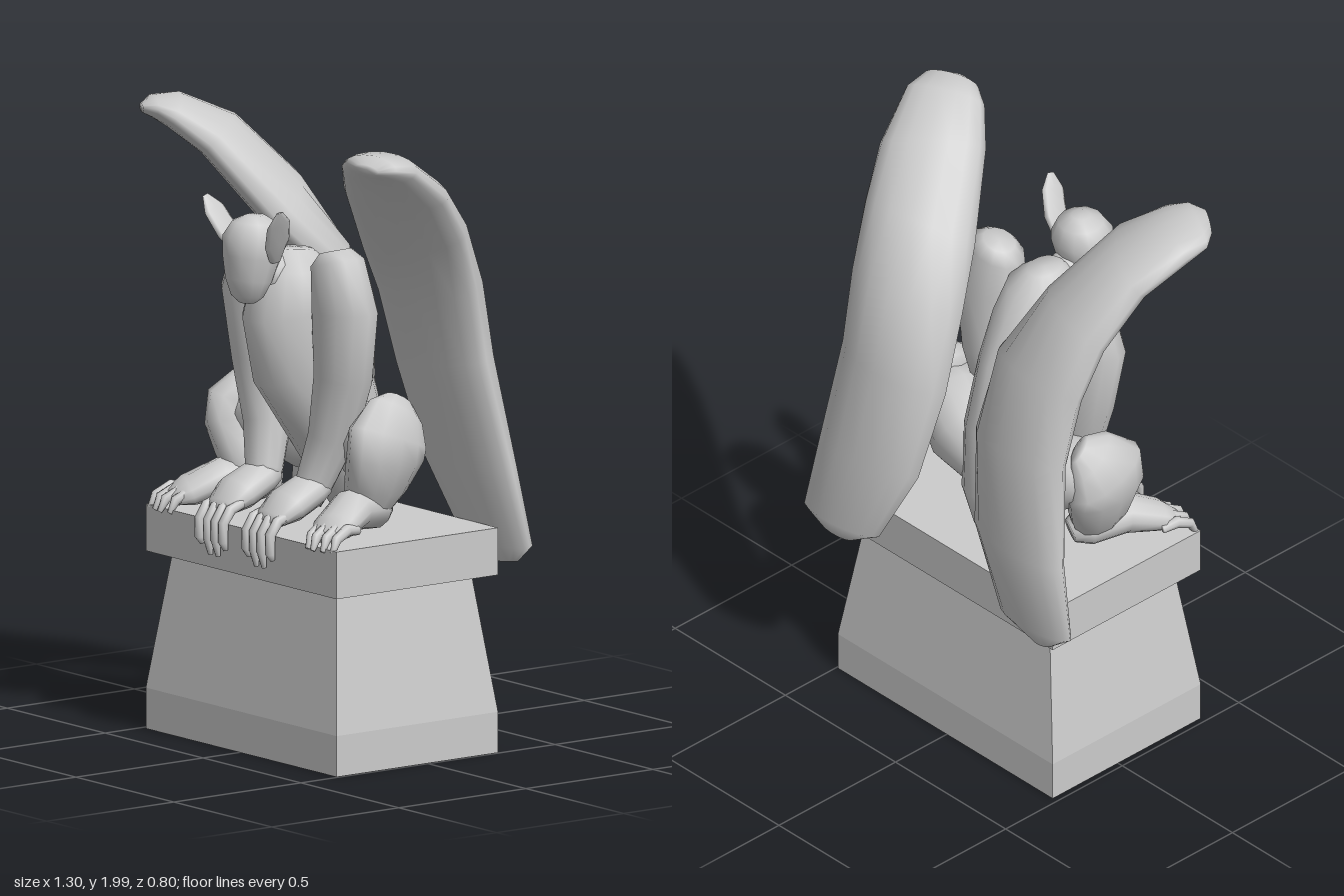
import * as THREE from 'three';

const material = new THREE.MeshStandardMaterial({ color: 0xcccccc });

function addMesh(parent, name, geometry) {
  const mesh = new THREE.Mesh(geometry, material);
  mesh.name = name;
  parent.add(mesh);
}

// Smooth closed loft. Each row is [x, y, z, halfWidth, halfDepth, side, backDepth]; a row's own
// side vector sets the width direction as is, the shared one is squared to the path.
function loft(rows, { side = [1, 0, 0], sides = 12 } = {}) {
  const centres = rows.map(r => new THREE.Vector3(r[0], r[1], r[2]));
  const last = rows.length - 1;
  const positions = [], index = [];
  rows.forEach(([, , , a, b, ownSide, back = b], i) => {
    const t = centres[Math.min(i + 1, last)].clone().sub(centres[Math.max(i - 1, 0)]).normalize();
    const s = new THREE.Vector3(...(ownSide ?? side));
    if (!ownSide) s.addScaledVector(t, -s.dot(t));
    s.normalize();
    const n = t.clone().cross(s).normalize();
    for (let j = 0; j < sides; j++) {
      const angle = j / sides * Math.PI * 2, sin = Math.sin(angle);
      const p = centres[i].clone().addScaledVector(s, a * Math.cos(angle))
        .addScaledVector(n, (sin > 0 ? back : b) * sin);
      positions.push(p.x, p.y, p.z);
      if (i < last) {
        const k = (j + 1) % sides, p0 = i * sides, p1 = p0 + sides;
        index.push(p0 + j, p0 + k, p1 + j, p0 + k, p1 + k, p1 + j);
      }
    }
  });
  // end caps
  const first = rows.length * sides, top = last * sides;
  positions.push(...centres[0].toArray(), ...centres[last].toArray());
  for (let j = 0; j < sides; j++) {
    const k = (j + 1) % sides;
    index.push(first, k, j, first + 1, top + j, top + k);
  }
  const g = new THREE.BufferGeometry();
  g.setAttribute('position', new THREE.Float32BufferAttribute(positions, 3));
  g.setIndex(index);
  g.computeVertexNormals();
  return g;
}

// Box between two heights whose top is scaled inward
function block(y0, y1, topX = 1, topZ = 1) {
  const g = new THREE.BoxGeometry(0.975, y1 - y0, 0.635);
  const p = g.attributes.position;
  for (let i = 0; i < p.count; i++) {
    if (p.getY(i) > 0) p.setXYZ(i, p.getX(i) * topX, p.getY(i), p.getZ(i) * topZ);
  }
  g.computeVertexNormals();
  g.translate(0.007, (y0 + y1) / 2, 0.0375);
  return g;
}

function buildPedestal() {
  const pedestal = new THREE.Group();
  pedestal.name = 'pedestal';
  addMesh(pedestal, 'plinth', block(0, 0.13));
  addMesh(pedestal, 'taperedShaft', block(0.13, 0.565, 0.86, 0.835));
  addMesh(pedestal, 'topSlab', block(0.565, 0.715));
  return pedestal;
}

// Wing rows, foot to tip: inner edge x y z, outer edge x y z, front and back half thickness
const leftWing = [
  [0.36, 0.585, -0.34, 0.5, 0.6, -0.35, 0.025, 0.025], [0.25, 0.65, -0.335, 0.555, 0.65, -0.36, 0.045, 0.055],
  [0.14, 0.9, -0.27, 0.53, 0.9, -0.31, 0.055, 0.085], [0.1, 1.2, -0.19, 0.495, 1.25, -0.235, 0.06, 0.125],
  [0.12, 1.45, -0.1, 0.51, 1.48, -0.185, 0.065, 0.14], [0.2, 1.61, 0.03, 0.55, 1.67, -0.11, 0.06, 0.13],
  [0.33, 1.83, 0.2, 0.6, 1.81, 0, 0.06, 0.09], [0.41, 1.92, 0.27, 0.65, 1.92, 0.16, 0.05, 0.06],
  [0.47, 1.945, 0.3, 0.65, 1.935, 0.24, 0.035, 0.035], [0.53, 1.94, 0.31, 0.61, 1.93, 0.28, 0.015, 0.015],
];
const rightWing = [
  [0.4, 0.575, -0.28, 0.48, 0.58, -0.28, 0.025, 0.025], [0.25, 0.62, -0.28, 0.56, 0.64, -0.28, 0.04, 0.045],
  [0.14, 0.9, -0.28, 0.53, 0.9, -0.285, 0.055, 0.07], [0.09, 1.2, -0.21, 0.5, 1.25, -0.255, 0.06, 0.1],
  [0.1, 1.45, -0.1, 0.525, 1.5, -0.215, 0.065, 0.12], [0.18, 1.62, 0.06, 0.555, 1.68, -0.15, 0.06, 0.125],
  [0.32, 1.86, 0.22, 0.6, 1.85, -0.02, 0.06, 0.095], [0.41, 1.94, 0.29, 0.655, 1.94, 0.13, 0.05, 0.06],
  [0.46, 1.965, 0.32, 0.655, 1.95, 0.22, 0.035, 0.035], [0.52, 1.965, 0.335, 0.61, 1.945, 0.28, 0.015, 0.015],
];

function wing(rows, m) {
  return loft(rows.map(([xi, yi, zi, xo, yo, zo, front, back]) => {
    const inner = new THREE.Vector3(xi * m, yi, zi), outer = new THREE.Vector3(xo * m, yo, zo);
    const chord = outer.clone().sub(inner).multiplyScalar(m);
    return [...inner.add(outer).multiplyScalar(0.5), chord.length() / 2, front, chord.toArray(), back];
  }), { sides: 16 });
}

function buildSide(m) {
  const group = new THREE.Group();
  group.name = m > 0 ? 'leftLimbs' : 'rightLimbs';
  const add = (name, rows, options) =>
    addMesh(group, name, loft(rows.map(([x, ...rest]) => [x * m, ...rest]), options));

  // ear, a thin upright leaf
  add('ear', [
    [0.095, 1.57, 0.29, 0.02, 0.012], [0.125, 1.63, 0.305, 0.045, 0.012],
    [0.165, 1.7, 0.33, 0.042, 0.01], [0.19, 1.742, 0.345, 0.012, 0.005],
  ], { side: [0, 0, 1], sides: 8 });

  // front limb
  add('arm', [
    [0.185, 1.595, 0.12, 0.055, 0.05], [0.195, 1.56, 0.12, 0.1, 0.08],
    [0.23, 1.41, 0.12, 0.127, 0.093], [0.21, 1.2, 0.11, 0.105, 0.088],
    [0.165, 1.0, 0.12, 0.08, 0.075], [0.13, 0.86, 0.16, 0.062, 0.06],
    [0.125, 0.8, 0.19, 0.05, 0.05],
  ]);
  add('hand', [
    [0.128, 0.845, 0.13, 0.05, 0.04], [0.127, 0.835, 0.18, 0.078, 0.055],
    [0.127, 0.795, 0.27, 0.086, 0.055], [0.124, 0.76, 0.33, 0.07, 0.03],
    [0.123, 0.75, 0.35, 0.04, 0.012],
  ]);
  [[0.06, 0.635], [0.098, 0.61], [0.137, 0.61], [0.18, 0.64]].forEach(([x, tip], i) => add('finger' + (i + 1), [
    [x, 0.775, 0.3, 0.016, 0.016], [x, 0.76, 0.345, 0.018, 0.018], [x, 0.72, 0.374, 0.017, 0.016],
    [x, 0.66, 0.375, 0.016, 0.015], [x, tip, 0.365, 0.008, 0.008],
  ], { sides: 8 }));

  // folded hind limb
  add('thigh', [
    [0.05, 0.9, -0.08, 0.07, 0.08], [0.14, 0.95, -0.05, 0.12, 0.13],
    [0.26, 1.0, 0.01, 0.13, 0.12], [0.35, 1.01, 0.04, 0.11, 0.09],
    [0.4, 1.01, 0.05, 0.05, 0.04],
  ], { side: [0, 0, 1] });
  add('lowerLeg', [
    [0.325, 1.125, -0.02, 0.05, 0.03], [0.345, 1.09, 0.01, 0.1, 0.06],
    [0.365, 1.02, 0.055, 0.145, 0.08], [0.36, 0.96, 0.06, 0.145, 0.08],
    [0.325, 0.87, 0.07, 0.115, 0.078], [0.295, 0.8, 0.08, 0.085, 0.065],
    [0.285, 0.75, 0.08, 0.05, 0.05],
  ], { side: [0, 0, 1] });
  add('foot', [
    [0.265, 0.775, 0.0, 0.04, 0.04], [0.285, 0.79, 0.05, 0.07, 0.07],
    [0.33, 0.8, 0.17, 0.075, 0.065], [0.375, 0.765, 0.27, 0.08, 0.045],
    [0.4, 0.745, 0.32, 0.06, 0.022],
  ]);
  for (let i = 0; i < 4; i++) {
    const x = 0.325 + i * 0.038, z = 0.35 - Math.abs(i - 1) * 0.01;
    add('toe' + (i + 1), [
      [x, 0.76, z - 0.1, 0.015, 0.015], [x + 0.012, 0.768, z - 0.05, 0.018, 0.02],
      [x + 0.022, 0.745, z, 0.016, 0.017], [x + 0.028, 0.705, z + 0.02, 0.008, 0.008],
    ], { sides: 8 });
  }

  addMesh(group, 'wing', wing(m > 0 ? leftWing : rightWing, m));
  return group;
}

export function createModel() {
  const model = new THREE.Group();
  model.name = 'gargoyleStatue';
  model.add(buildPedestal());

  // hunched body
  addMesh(model, 'torso', loft([
    [0, 0.725, -0.09, 0.05, 0.06], [0, 0.83, -0.075, 0.105, 0.105],
    [0, 1.03, -0.01, 0.13, 0.165], [0, 1.23, 0.085, 0.14, 0.205],
    [0, 1.4, 0.14, 0.145, 0.18], [0, 1.52, 0.145, 0.12, 0.13],
    [0, 1.58, 0.14, 0.05, 0.06],
  ], { sides: 16 }));
  addMesh(model, 'neck', loft([
    [0, 1.45, 0.15, 0.08, 0.08], [0, 1.5, 0.22, 0.075, 0.07], [0, 1.55, 0.29, 0.06, 0.06],
  ]));
  addMesh(model, 'head', loft([
    [0, 1.428, 0.325, 0.03, 0.025], [0, 1.45, 0.325, 0.058, 0.05], [0, 1.5, 0.32, 0.08, 0.072],
    [0, 1.57, 0.31, 0.096, 0.09], [0, 1.63, 0.3, 0.102, 0.098],
    [0, 1.68, 0.295, 0.075, 0.072], [0, 1.702, 0.295, 0.03, 0.03],
  ]));
  for (const m of [1, -1]) model.add(buildSide(m));
  return model;
}
